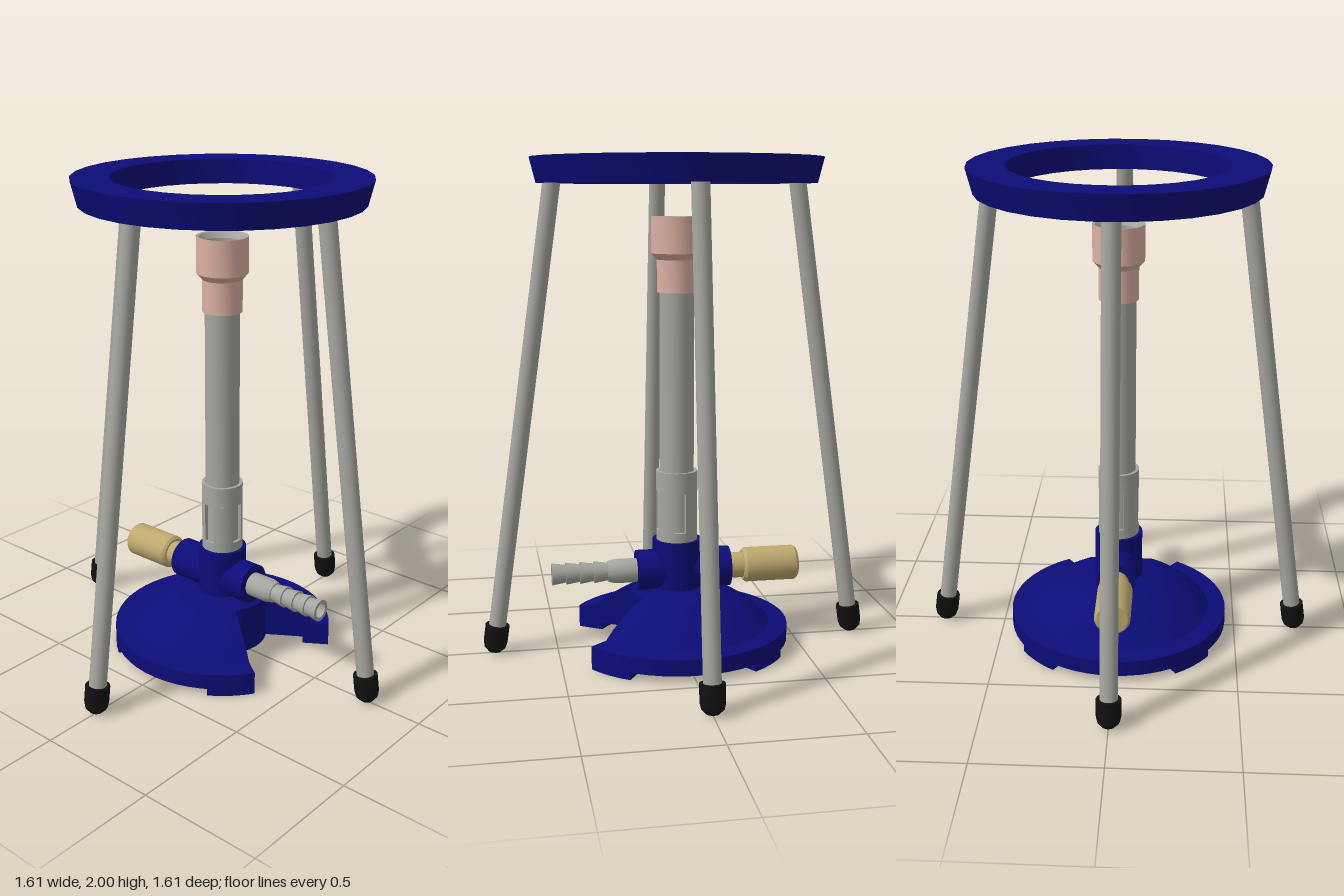
import * as THREE from 'three';
import { toCreasedNormals } from 'three/addons/utils/BufferGeometryUtils.js';

const paint = (name, color) => {
  const m = new THREE.MeshStandardMaterial({ color, side: THREE.DoubleSide });
  m.name = name;
  return m;
};

export function createModel() {
  const navy = paint('navy enamel', 0x0c0c78);
  const steel = paint('steel', 0xa6a6a1);
  const copper = paint('pale copper', 0xdcb0a3);
  const brass = paint('brass', 0xbfa970);
  const rubber = paint('black rubber', 0x111111);
  const mesh3 = paint('dark gauze', 0x44446e);

  const model = new THREE.Group();
  model.name = 'burnerAndTripod';

  const group = (name, parent = model) => {
    const g = new THREE.Group();
    g.name = name;
    parent.add(g);
    return g;
  };
  const vec = (pts) => pts.map(([x, y]) => new THREE.Vector2(x, y));
  // Turned part: profile of [radius, height] listed bottom to top on the outside
  const turned = (name, pts, mat, parent, segs = 32, start = 0, sweep = Math.PI * 2) => {
    const geo = new THREE.LatheGeometry(vec(pts), segs, start, sweep);
    const m = new THREE.Mesh(toCreasedNormals(geo, 0.5), mat);
    m.name = name;
    parent.add(m);
    return m;
  };

  // ---- Tripod ----
  const tripod = group('tripod');
  turned('topRing', [[0.43, 1.9], [0.555, 1.9], [0.58, 2], [0.43, 2], [0.43, 1.9]], navy, tripod, 30);

  const tilt = Math.atan2(0.755 - 0.495, 1.9 - 0.05);
  for (let i = 0; i < 4; i++) {
    const leg = group('leg' + (i + 1), tripod);
    leg.rotation.y = i * Math.PI / 2;
    const axis = group('legAxis' + (i + 1), leg);
    axis.position.set(0.755, 0.05, 0);
    axis.rotation.z = tilt;
    turned('legRod', [[0, 0], [0.035, 0], [0.035, 1.89], [0, 1.89]], steel, axis, 16);
    turned('rubberFoot', [[0, -0.05], [0.025, -0.043], [0.043, -0.025], [0.049, 0],
      [0.049, 0.07], [0, 0.07]], rubber, axis, 18);
  }

  // ---- Burner base: domed disc with a wedge left open toward +x ----
  const burner = group('burner');
  const base = group('base', burner);
  const half = THREE.MathUtils.degToRad(33);
  const dome = [[0.19, 0.03], [0.46, 0.03], [0.46, 0.095], [0.385, 0.1], [0.345, 0.138],
    [0.3, 0.171], [0.25, 0.203], [0.19, 0.23]];
  const from = Math.PI / 2 + half;
  const to = Math.PI * 2.5 - half;
  turned('baseDome', dome, navy, base, 44, from, to - from);
  turned('baseCore', [[0, 0.03], [0.19, 0.03], [0.19, 0.23], [0.1, 0.25], [0.1, 0.45], [0, 0.45]], navy, base, 32);
  for (const phi of [from, to]) {
    const wall = new THREE.Mesh(new THREE.ShapeGeometry(new THREE.Shape(vec(dome))), navy);
    wall.name = 'notchWall';
    wall.rotation.y = phi - Math.PI / 2;
    base.add(wall);
  }
  // Four low pads under the rim
  const pad = [[0.35, 0], [0.46, 0], [0.46, 0.04], [0.35, 0.04], [0.35, 0]];
  const padSweep = Math.PI / 2 - 2 * half;
  for (let i = 0; i < 4; i++) {
    const start = half + i * Math.PI / 2;
    turned('basePad', pad, navy, base, 4, start, padSweep);
    for (const phi of [start, start + padSweep]) {
      const end = new THREE.Mesh(new THREE.ShapeGeometry(new THREE.Shape(vec(pad.slice(0, 4)))), navy);
      end.name = 'padEnd';
      end.rotation.y = phi - Math.PI / 2;
      base.add(end);
    }
  }

  // ---- Parts lying along x at valve height ----
  const valve = group('valve', burner);
  valve.position.y = 0.32;
  valve.rotation.z = -Math.PI / 2;
  turned('valveBody', [[0, -0.22], [0.083, -0.22], [0.083, 0.17], [0, 0.17]], navy, valve, 28);
  turned('knobNeck', [[0, -0.29], [0.053, -0.29], [0.053, -0.22], [0, -0.22]], brass, valve, 24);
  turned('brassKnob', [[0, -0.51], [0.062, -0.51], [0.072, -0.498], [0.072, -0.29],
    [0.062, -0.278], [0, -0.278]], brass, valve, 24);

  // Hose nozzle: each barb flares, then steps in
  const nozzle = [[0, 0.17], [0.05, 0.17], [0.05, 0.26], [0.042, 0.29]];
  for (let i = 0; i < 4; i++) {
    const x = 0.29 + i * 0.0575;
    nozzle.push([0.036, x], [0.045, x + 0.0575]);
  }
  nozzle.push([0.03, 0.52], [0.03, 0.3], [0, 0.3]);
  turned('hoseNozzle', nozzle, steel, valve, 20);

  // ---- Barrel and air collar with four slots ----
  turned('barrel', [[0.07, 0.45], [0.07, 1.6]], steel, burner, 28);
  const collar = group('airCollar', burner);
  const band = (y0, y1) => [[0.072, y0], [0.085, y0], [0.085, y1], [0.072, y1], [0.072, y0]];
  turned('collarBottom', band(0.45, 0.49), steel, collar, 32);
  turned('collarTop', band(0.655, 0.74), steel, collar, 32);
  const slot = 0.29;
  for (let i = 0; i < 4; i++) {
    turned('collarPillar', band(0.49, 0.655), steel, collar, 8, i * Math.PI / 2 + slot, Math.PI / 2 - 2 * slot);
    for (const s of [-slot, slot]) {
      const edge = new THREE.Mesh(new THREE.ShapeGeometry(new THREE.Shape(vec(band(0.49, 0.655).slice(0, 4)))), steel);
      edge.name = 'slotEdge';
      edge.rotation.y = i * Math.PI / 2 + s - Math.PI / 2;
      collar.add(edge);
    }
  }

  // ---- Flame head ----
  const head = group('flameHead', burner);
  turned('headSleeve', [[0.07, 1.47], [0.08, 1.47], [0.08, 1.6], [0.103, 1.625], [0.103, 1.77]], copper, head, 28);
  turned('headLining', [[0.103, 1.77], [0.092, 1.768], [0.075, 1.745], [0.07, 1.6]], steel, head, 28);
  turned('gauze', [[0.07, 1.6], [0, 1.6]], mesh3, head, 28);

  return model;
}
